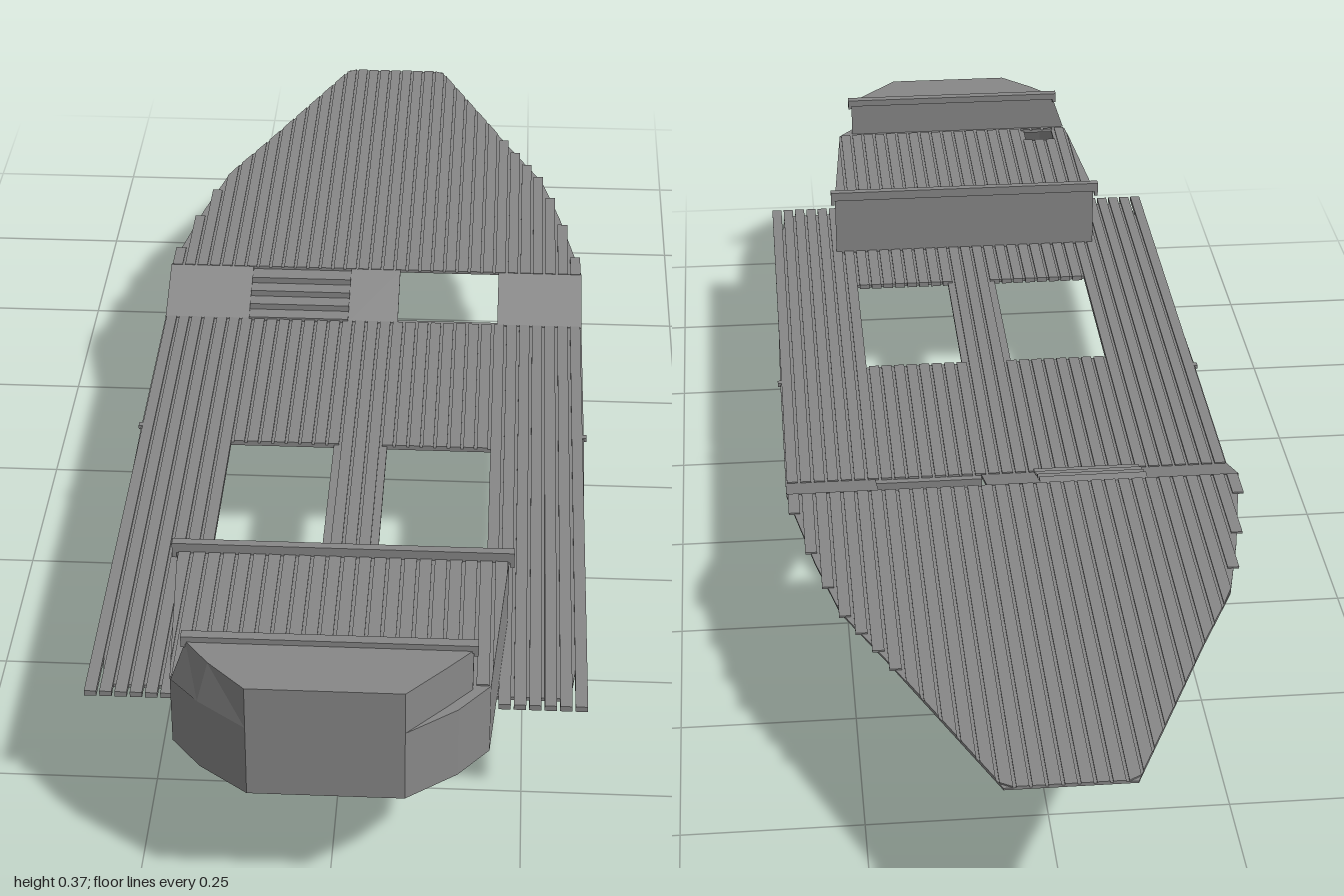
import * as THREE from 'three';

const timber = new THREE.MeshStandardMaterial({ color: 0x888888, flatShading: true, side: THREE.DoubleSide });

function add(parent, name, geometry) {
  const mesh = new THREE.Mesh(geometry, timber);
  mesh.name = name;
  parent.add(mesh);
  return mesh;
}

// Box given by its lower and upper corners
function box(parent, name, [x0, y0, z0], [x1, y1, z1]) {
  const mesh = add(parent, name, new THREE.BoxGeometry(x1 - x0, y1 - y0, z1 - z0));
  mesh.position.set((x0 + x1) / 2, (y0 + y1) / 2, (z0 + z1) / 2);
}

const toVectors = pts => pts.map(([x, z]) => new THREE.Vector2(x, z));
const mirrored = half => [...half, ...half.map(([x, z]) => [-x, z]).reverse()];
const rect = (x0, x1, z0, z1) => [[x0, z0], [x1, z0], [x1, z1], [x0, z1]];

// Horizontal plate from an outline of [x, z] points, with optional holes
function plate(parent, name, outline, top, depth, holes = []) {
  const shape = new THREE.Shape(toVectors(outline));
  holes.forEach(h => shape.holes.push(new THREE.Path(toVectors(h))));
  const geometry = new THREE.ExtrudeGeometry(shape, { depth, bevelEnabled: false });
  geometry.rotateX(Math.PI / 2).translate(0, top, 0);
  add(parent, name, geometry);
}

// Wall strip between two rings of [x, y, z] points
function wall(parent, name, low, high) {
  const pos = [];
  low.forEach((a, i) => {
    const j = (i + 1) % low.length;
    pos.push(...a, ...high[j], ...low[j], ...a, ...high[i], ...high[j]);
  });
  const geometry = new THREE.BufferGeometry();
  geometry.setAttribute('position', new THREE.Float32BufferAttribute(pos, 3));
  geometry.computeVertexNormals();
  add(parent, name, geometry);
}

// Value of z where a half outline of [x, z] points reaches a given x
function edgeZ(half, x) {
  const i = half.findIndex(([xa], k) => k > 0 && (x - xa) * (x - half[k - 1][0]) <= 0);
  const [[xa, za], [xb, zb]] = [half[i - 1], half[i]];
  return za + (zb - za) * (x - xa) / (xb - xa);
}

// Planks running fore and aft; spans(x, centre) gives the [z0, z1] pieces at x
function planks(parent, name, halfWidth, y, height, spans) {
  const group = new THREE.Group();
  group.name = name;
  const n = Math.round(halfWidth * 2 / 0.0203);
  const pitch = halfWidth * 2 / n;
  for (let i = 0; i < n; i++) {
    const centre = -halfWidth + (i + 0.5) * pitch;
    const left = spans(centre - pitch * 0.4, centre);
    const right = spans(centre + pitch * 0.4, centre);
    left.forEach((span, k) => {
      const geometry = new THREE.BoxGeometry(pitch * 0.8, height, 1);
      const p = geometry.attributes.position;
      for (let v = 0; v < p.count; v++) {
        const ends = p.getX(v) < 0 ? span : right[k];
        p.setZ(v, ends[p.getZ(v) < 0 ? 0 : 1]);
      }
      add(group, 'plank', geometry.translate(centre, y + height / 2, 0));
    });
  }
  parent.add(group);
}

function flight(parent, name, x0, x1, from, to, count, thickness) {
  const group = new THREE.Group();
  group.name = name;
  const dy = (to[0] - from[0]) / count, dz = (to[1] - from[1]) / count;
  for (let i = 0; i < count; i++) {
    const low = Math.min(from[0] + i * dy, from[0] + (i + 1) * dy);
    const z = from[1] + i * dz;
    box(group, 'step', [x0, low, z + dz - 0.004], [x1, low + thickness, z + 0.002]);
  }
  parent.add(group);
}

export function createModel() {
  const model = new THREE.Group();

  // Main deck with two cargo hatches
  const hatches = [rect(0.04, 0.2, 0.2, 0.5), rect(-0.2, -0.04, 0.2, 0.5)];
  const deckHalf = [[0.335, -0.16], [0.335, 0.17], [0.33, 0.62], [0.31, 0.79]];
  plate(model, 'mainDeck', mirrored(deckHalf), 0.195, 0.005, hatches);
  planks(model, 'mainDeckPlanks', 0.335, 0.19, 0.008, (x, centre) => {
    const a = Math.abs(centre);
    return a > 0.04 && a < 0.2 ? [[-0.16, 0.2], [0.495, 0.81]] : [[-0.16, 0.81]];
  });
  for (const s of [-1, 1]) {
    box(model, 'deckEdgeBlock', [s * 0.336 - 0.003, 0.191, 0.155], [s * 0.336 + 0.003, 0.197, 0.165]);
  }

  // Raised foredeck: clean cut planks near the bow, stepped ends further aft
  const bowHalf = [[0.085, -1], [0.215, -0.7], [0.27, -0.58], [0.3, -0.45], [0.335, -0.26]];
  plate(model, 'foredeck', mirrored(bowHalf), 0.235, 0.003);
  planks(model, 'foredeckPlanks', 0.335, 0.234, 0.003, (x, centre) => {
    const stepped = centre > 0.2 || centre < -0.27;
    const a = Math.abs(stepped ? centre : x);
    return [[a < 0.085 ? -1 : edgeZ(bowHalf, a), -0.26]];
  });

  // Sloping panels joining the two decks
  for (const [x0, x1] of [[-0.335, -0.2], [-0.04, 0.04], [0.2, 0.335]]) {
    const slope = new THREE.BoxGeometry(x1 - x0, 0.004, 0.1);
    const p = slope.attributes.position;
    for (let i = 0; i < p.count; i++) {
      p.setY(i, p.getY(i) + 0.214 - p.getZ(i) * 0.4);
    }
    slope.translate((x0 + x1) / 2, 0, -0.21);
    add(model, 'slopePanel', slope);
  }

  // Steps up to the foredeck and stairs down below it
  flight(model, 'stepsUp', -0.2, -0.04, [0.19, -0.16], [0.23, -0.26], 4, 0.011);
  flight(model, 'stairsDown', 0.04, 0.2, [0.193, -0.152], [0, -0.338], 13, 0.0165);

  // Stern cabin
  const cabin = new THREE.Group();
  cabin.name = 'cabin';
  model.add(cabin);
  const sideHalf = [[0.225, 0.63], [0.205, 0.9], [0.165, 0.95], [0.1, 1]];
  const lower = mirrored(sideHalf);
  const ring = (pts, y) => pts.map(([x, z]) => [x, y, z]);
  plate(cabin, 'cabinFloor', lower, 0.198, 0.004);
  wall(cabin, 'cabinWalls', ring(lower, 0.196), ring(lower, 0.299));
  plate(cabin, 'cabinRoof', lower, 0.299, 0.004, [rect(-0.18, -0.13, 0.85, 0.895)]);
  planks(cabin, 'cabinRoofPlanks', 0.225, 0.298, 0.003, (x, centre) => {
    const a = Math.abs(x);
    const end = a > 0.205 ? edgeZ(sideHalf, Math.min(a, 0.2249)) : 0.9;
    return centre > -0.185 && centre < -0.125 ? [[0.63, 0.85], [0.895, end]] : [[0.63, end]];
  });
  box(cabin, 'cabinRoofLip', [-0.232, 0.299, 0.62], [0.232, 0.314, 0.632]);
  for (const s of [-1, 1]) {
    box(cabin, 'lipEnd', [s * 0.229 - 0.003, 0.291, 0.62], [s * 0.229 + 0.003, 0.314, 0.632]);
  }

  // Upper stern house: leaning wall on the right, upright with a ledge on the left
  const base = [[0.182, 0.908], [0.15, 0.945], [0.1, 1], [-0.1, 1], [-0.165, 0.95], [-0.203, 0.908]];
  const top = [[0.182, 0.908], [0.15, 0.945], [0.1, 1], [-0.1, 1], [-0.15, 0.95], [-0.182, 0.908]];
  wall(cabin, 'upperWalls', ring(base, 0.299), ring(top, 0.36));
  plate(cabin, 'upperRoof', top, 0.361, 0.003);
  box(cabin, 'upperRoofLip', [-0.188, 0.358, 0.896], [0.188, 0.369, 0.91]);
  for (const s of [-1, 1]) {
    box(cabin, 'lipEnd', [s * 0.185 - 0.003, 0.353, 0.896], [s * 0.185 + 0.003, 0.369, 0.91]);
  }
  return model;
}
